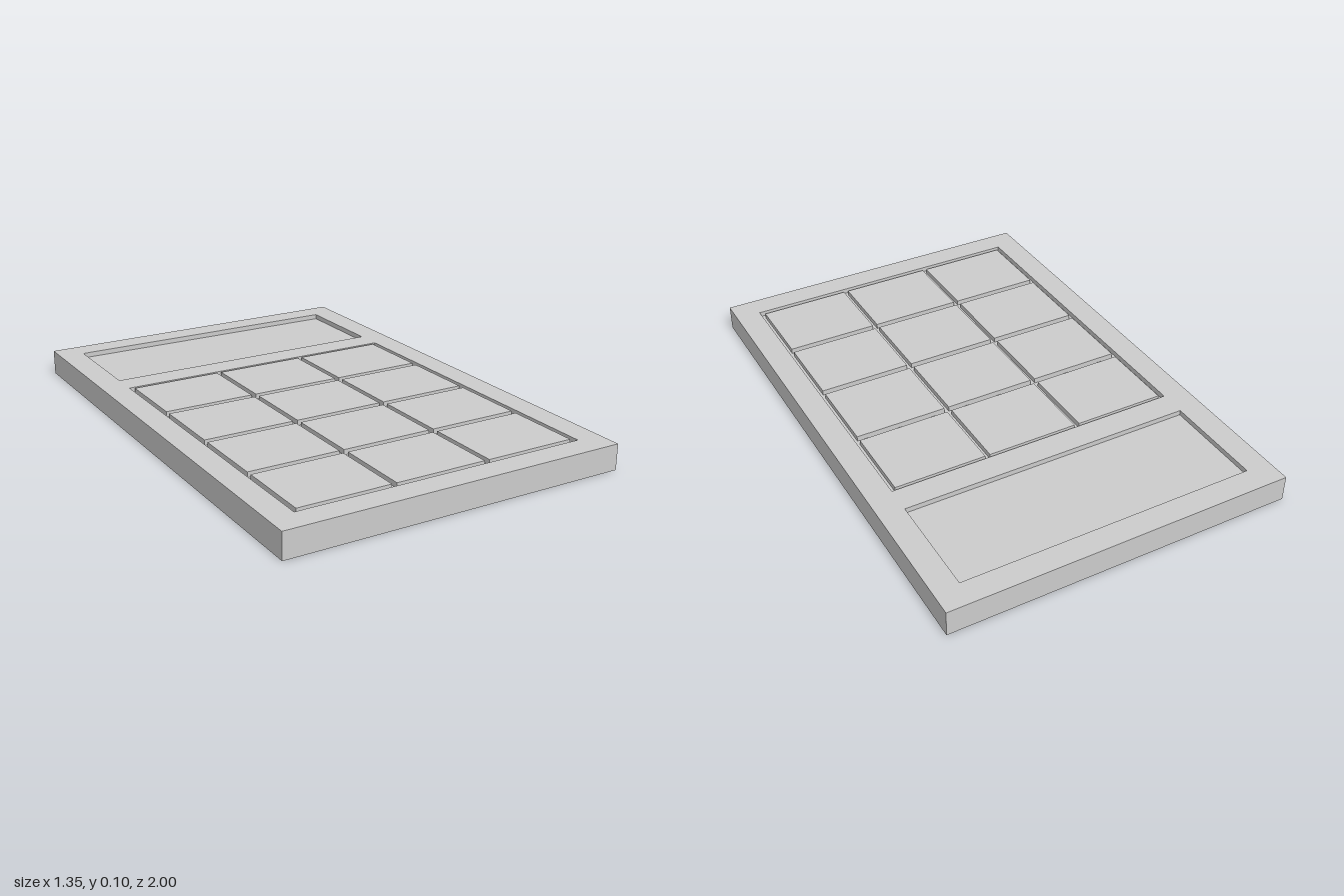
import * as THREE from 'three';

const HALF_W = 0.675, HALF_D = 1, HEIGHT = 0.1, RECESS = 0.02;
const FLOOR = HEIGHT - RECESS;

// Traces a rectangle on a Shape or Path; plan z becomes -y of the shape
function traceRect(path, halfW, z0, z1) {
  path.moveTo(-halfW, -z1);
  path.lineTo(halfW, -z1);
  path.lineTo(halfW, -z0);
  path.lineTo(-halfW, -z0);
  path.closePath();
  return path;
}

export function createModel() {
  const model = new THREE.Group();
  const material = new THREE.MeshStandardMaterial({ color: 0xcccccc, flatShading: true });

  const add = (name, geometry, x, y, z, parent = model) => {
    const mesh = new THREE.Mesh(geometry, material);
    mesh.name = name;
    mesh.position.set(x, y, z);
    parent.add(mesh);
  };

  // Solid slab whose top forms the floor of both recesses
  add('base', new THREE.BoxGeometry(HALF_W * 2, FLOOR, HALF_D * 2), 0, FLOOR / 2, 0);

  // Face plate with openings for the display and the keypad
  const plate = traceRect(new THREE.Shape(), HALF_W, -HALF_D, HALF_D);
  plate.holes.push(traceRect(new THREE.Path(), 0.577, -0.904, -0.504));
  plate.holes.push(traceRect(new THREE.Path(), 0.577, -0.4, 0.902));
  const plateGeometry = new THREE.ExtrudeGeometry(plate, { depth: RECESS, bevelEnabled: false });
  plateGeometry.rotateX(-Math.PI / 2);
  add('facePlate', plateGeometry, 0, FLOOR, 0);

  // Three by four keys, level with the face plate
  const keypad = new THREE.Group();
  keypad.name = 'keypad';
  model.add(keypad);
  const keyGeometry = new THREE.BoxGeometry(0.36, RECESS, 0.3);
  for (let row = 0; row < 4; row++) {
    for (let col = 0; col < 3; col++) {
      add(`key${row * 3 + col + 1}`, keyGeometry,
        (col - 1) * 0.379, FLOOR + RECESS / 2, -0.238 + row * 0.3235, keypad);
    }
  }

  return model;
}
